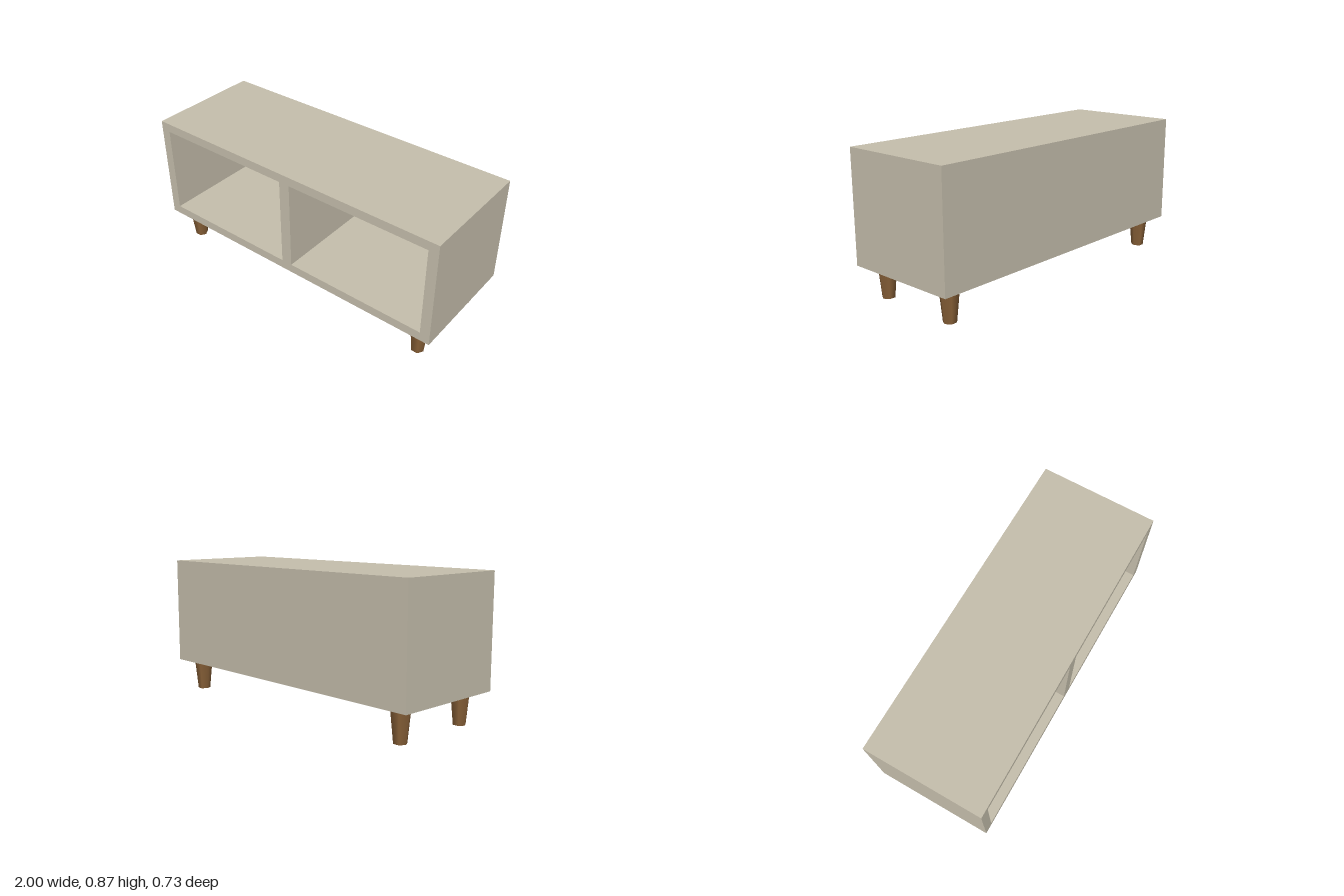
import * as THREE from 'three';

const BOTTOM = 0.194, TOP = 0.868, HALF_DEPTH = 0.365;
const OPEN = { x0: 0.035, x1: 0.939, y0: 0.25, y1: 0.813, depth: 0.63 };

// Box with its front (+z) face left out; inward turns the faces to the inside
function openBox(w, h, d, inward = false) {
  const geo = new THREE.BoxGeometry(w, h, d);
  const index = Array.from(geo.index.array);
  index.splice(24, 6);
  geo.setIndex(index);
  geo.clearGroups();
  if (inward) {
    geo.scale(-1, 1, 1);
    geo.computeVertexNormals();
  }
  return geo;
}

function rectangle(path, x0, y0, x1, y1) {
  path.moveTo(x0, y0).lineTo(x1, y0).lineTo(x1, y1).lineTo(x0, y1).closePath();
  return path;
}

export function createModel() {
  const model = new THREE.Group();
  model.name = 'lowCabinet';
  const paint = new THREE.MeshStandardMaterial({ name: 'beigePaint', color: 0xc6bfad });
  const wood = new THREE.MeshStandardMaterial({ name: 'brownWood', color: 0x8a6239 });

  function add(parent, name, geometry, material, x, y, z) {
    const mesh = new THREE.Mesh(geometry, material);
    mesh.name = name;
    mesh.position.set(x, y, z);
    parent.add(mesh);
  }

  // Cabinet: outer shell, front frame and two recessed compartments
  const cabinet = new THREE.Group();
  cabinet.name = 'cabinet';
  model.add(cabinet);
  add(cabinet, 'outerShell', openBox(2, TOP - BOTTOM, 2 * HALF_DEPTH), paint, 0, (TOP + BOTTOM) / 2, 0);

  const frame = rectangle(new THREE.Shape(), -1, BOTTOM, 1, TOP);
  const width = OPEN.x1 - OPEN.x0, height = OPEN.y1 - OPEN.y0;
  for (const side of [-1, 1]) {
    const cx = side * (OPEN.x0 + OPEN.x1) / 2;
    frame.holes.push(rectangle(new THREE.Path(), cx - width / 2, OPEN.y0, cx + width / 2, OPEN.y1));
    add(cabinet, side > 0 ? 'leftCompartment' : 'rightCompartment',
      openBox(width, height, OPEN.depth, true), paint,
      cx, (OPEN.y0 + OPEN.y1) / 2, HALF_DEPTH - OPEN.depth / 2);
  }
  add(cabinet, 'frontFrame', new THREE.ShapeGeometry(frame), paint, 0, 0, HALF_DEPTH);

  // Four tapered six-sided legs
  const legGeometry = new THREE.CylinderGeometry(0.059, 0.039, BOTTOM, 6, 1, false, Math.PI / 2);
  for (const x of [-0.876, 0.876]) {
    for (const z of [-0.256, 0.256]) {
      const name = (z > 0 ? 'front' : 'back') + (x > 0 ? 'Left' : 'Right') + 'Leg';
      add(model, name, legGeometry, wood, x, BOTTOM / 2, z);
    }
  }
  return model;
}
